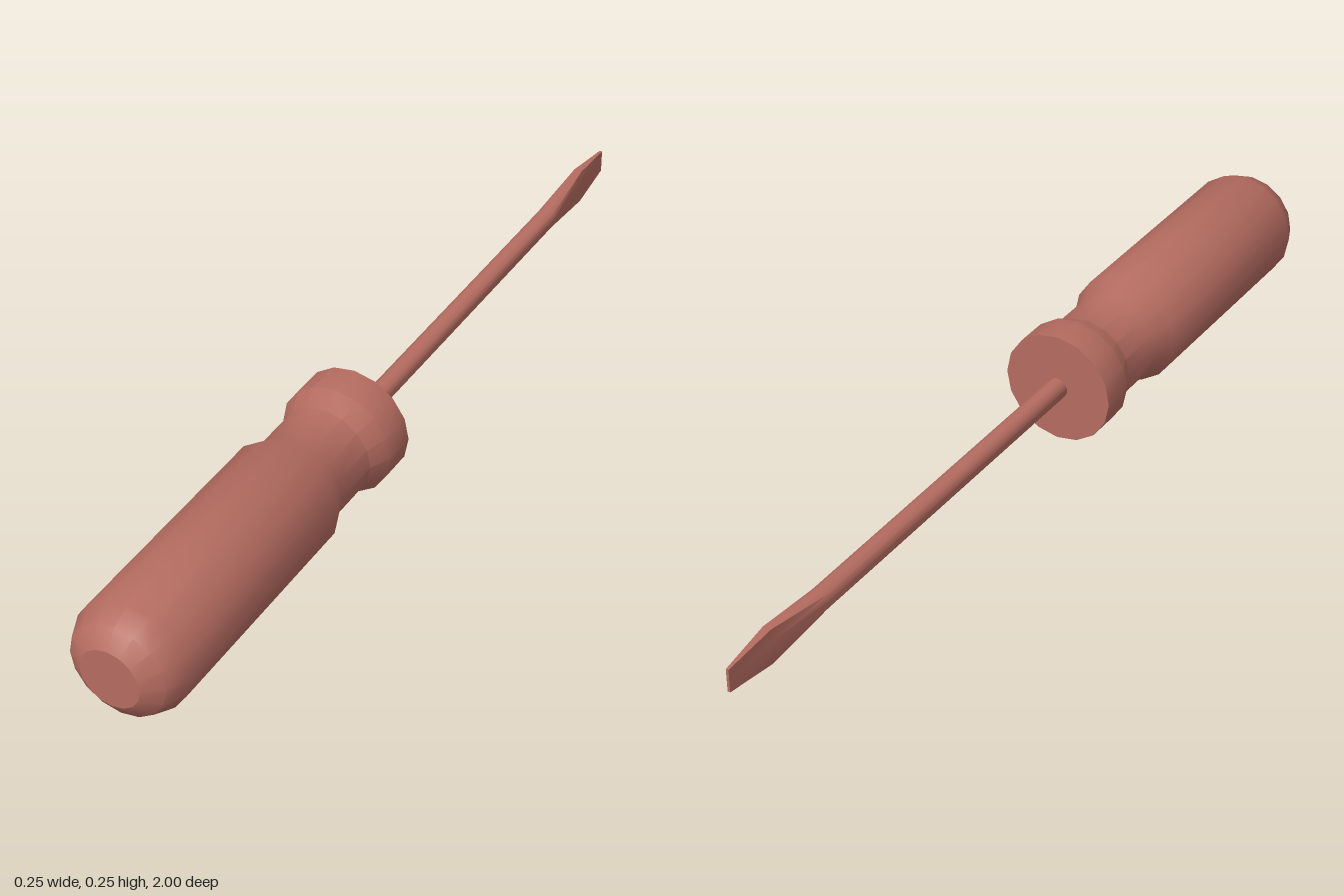
import * as THREE from 'three';
import { toCreasedNormals } from 'three/addons/utils/BufferGeometryUtils.js';

const AXIS_Y = 0.125;

// Sections along the rod: z, half width, half height, squareness (0 round, 1 rectangular)
const ROD = [
  [0.126, 0.0235, 0.0235, 0],
  [-0.72, 0.0235, 0.0235, 0],
  [-0.88, 0.009, 0.04, 1],
  [-1, 0.003, 0.026, 1],
];

function loftRod(sides) {
  const pos = [], index = [];
  for (const [z, w, h, sq] of ROD) {
    for (let i = 0; i < sides; i++) {
      const a = ((i + 0.5) / sides) * Math.PI * 2;
      const c = Math.cos(a), s = Math.sin(a);
      const k = THREE.MathUtils.lerp(1, 1 / Math.max(Math.abs(c), Math.abs(s)), sq);
      // push the corner points out to a full rectangle on square sections
      pos.push(c * k * w, s * k * h, z);
    }
  }
  for (let r = 0; r < ROD.length - 1; r++) {
    for (let i = 0; i < sides; i++) {
      const a = r * sides + i, b = r * sides + (i + 1) % sides;
      index.push(a, b + sides, b, a, a + sides, b + sides);
    }
  }
  // flat tip, facing -z
  const tip = (ROD.length - 1) * sides;
  for (let i = 1; i < sides - 1; i++) index.push(tip, tip + i + 1, tip + i);
  const geo = new THREE.BufferGeometry();
  geo.setAttribute('position', new THREE.Float32BufferAttribute(pos, 3));
  geo.setIndex(index);
  return toCreasedNormals(geo, 0.9);
}

export function createModel() {
  const group = new THREE.Group();
  const material = new THREE.MeshStandardMaterial({ color: 0xb56c60 });

  // Grip: turned profile with a waist behind the collar and a rounded butt
  const profile = [
    [0, 0.126], [0.125, 0.126], [0.125, 0.2], [0.104, 0.243], [0.104, 0.355],
    [0.125, 0.402], [0.125, 0.928], [0.105, 0.974], [0.066, 1], [0, 1],
  ].map(([r, z]) => new THREE.Vector2(r, z));
  const gripGeo = new THREE.LatheGeometry(profile, 16).rotateX(Math.PI / 2);
  gripGeo.deleteAttribute('normal');
  const handle = new THREE.Mesh(toCreasedNormals(gripGeo, 0.58), material);
  handle.name = 'handle';

  // Round rod flaring into a flat blade
  const shaft = new THREE.Mesh(loftRod(12), material);
  shaft.name = 'shaftAndBlade';

  for (const part of [handle, shaft]) {
    part.position.y = AXIS_Y;
    group.add(part);
  }
  return group;
}
